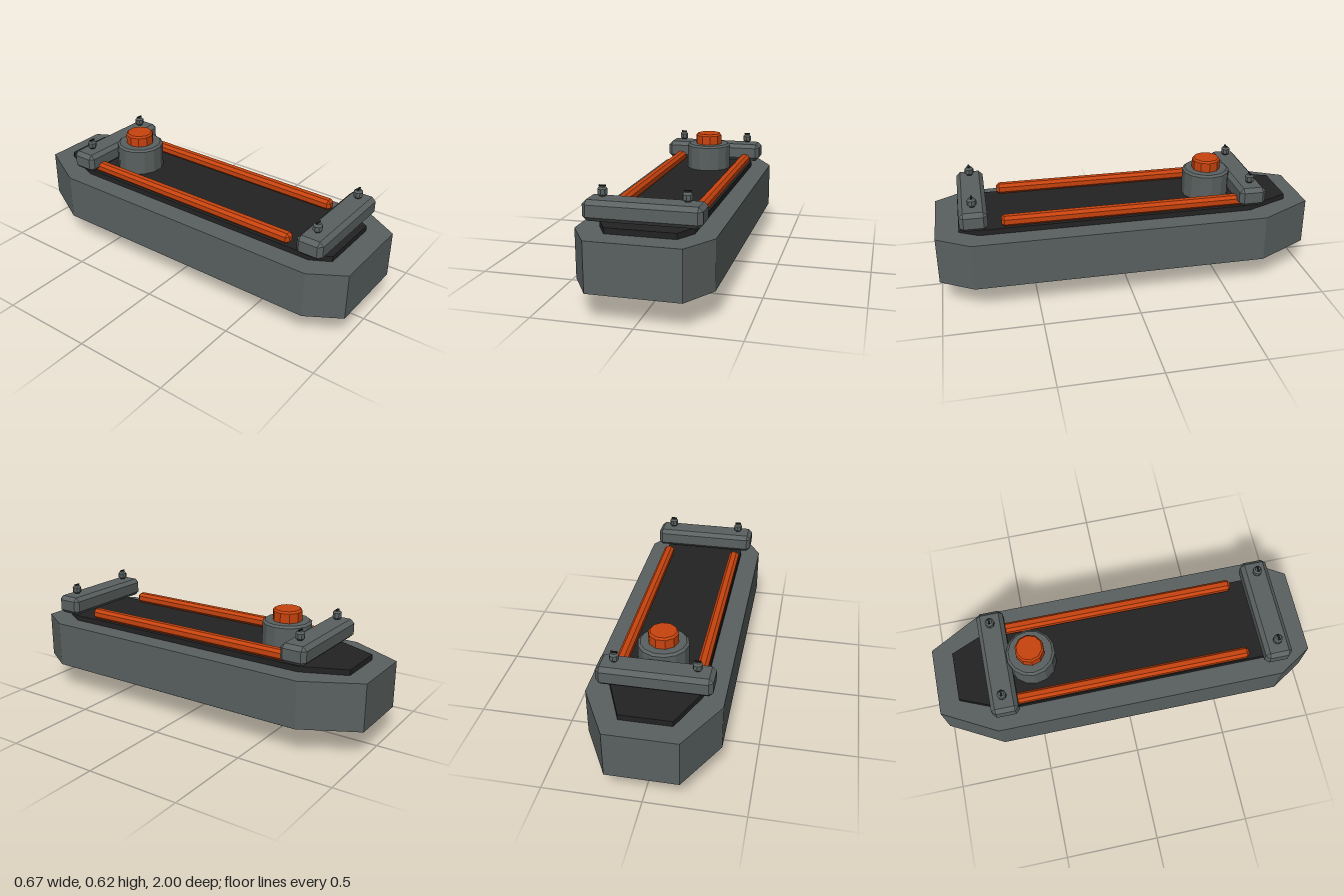
import * as THREE from 'three';
import { ConvexGeometry } from 'three/addons/geometries/ConvexGeometry.js';

function material(name, color) {
  const m = new THREE.MeshStandardMaterial({ color });
  m.name = name;
  return m;
}

// Box with every edge cut at 45 degrees
function chamferBox(w, h, d, c) {
  const points = [];
  const x = w / 2, y = h / 2, z = d / 2;
  for (const sx of [-1, 1]) for (const sy of [-1, 1]) for (const sz of [-1, 1]) {
    points.push(
      new THREE.Vector3(sx * x, sy * (y - c), sz * (z - c)),
      new THREE.Vector3(sx * (x - c), sy * y, sz * (z - c)),
      new THREE.Vector3(sx * (x - c), sy * (y - c), sz * z));
  }
  return new ConvexGeometry(points);
}

// Slab with a mirrored outline given as [x, z] from front to back
function slab(outline, y0, y1) {
  const right = outline.map(([x, z]) => new THREE.Vector2(x, -z));
  const left = outline.map(([x, z]) => new THREE.Vector2(-x, -z)).reverse();
  const geometry = new THREE.ExtrudeGeometry(new THREE.Shape([...right, ...left]),
    { depth: y1 - y0, bevelEnabled: false });
  return geometry.rotateX(-Math.PI / 2).translate(0, y0, 0);
}

// Faceted turned part from [radius, y] points, with a vertex on the x axis
function turned(profile, sides) {
  const geometry = new THREE.LatheGeometry(
    profile.map(([r, y]) => new THREE.Vector2(r, y)), sides, Math.PI / 2).toNonIndexed();
  geometry.computeVertexNormals();
  return geometry;
}

export function createModel() {
  const model = new THREE.Group();
  model.name = 'device';
  const grey = material('slate grey', 0x5a6160);
  const dark = material('near black', 0x232323);
  const orange = material('burnt orange', 0xc8430e);

  const add = (name, geometry, mat, x = 0, y = 0, z = 0) => {
    const mesh = new THREE.Mesh(geometry, mat);
    mesh.name = name;
    mesh.position.set(x, y, z);
    model.add(mesh);
    return mesh;
  };

  // Main body and the dark panels above and below it
  add('body', slab([[0.228, 1], [0.335, 0.825], [0.335, -0.715], [0.18, -1]], 0.145, 0.393), grey);
  const panel = [[0.172, 0.88], [0.228, 0.78], [0.228, -0.66], [0.13, -0.89]];
  add('topPanel', slab(panel, 0.393, 0.422), dark);
  add('bottomPanel', slab(panel, 0.115, 0.145), dark);

  // Grip under the body with its two posts
  add('grip', chamferBox(0.194, 0.108, 1.14, 0.029), dark, 0, 0.054, 0.005);
  for (const z of [0.47, -0.465]) {
    add('gripPost', new THREE.BoxGeometry(0.192, 0.035, 0.16), grey, 0, 0.0985, z);
  }

  // Side rails
  for (const x of [-0.2, 0.2]) {
    add('rail', chamferBox(0.056, 0.056, 1.31, 0.015), orange, x, 0.453, 0.008);
  }

  // Cross bars, each with two slotted screws
  const bar = chamferBox(0.566, 0.1, 0.142, 0.021);
  const screw = turned([[0, 0.547], [0.015, 0.547], [0.024, 0.557], [0.024, 0.582],
    [0.015, 0.592], [0, 0.592]], 8);
  const slot = new THREE.BoxGeometry(0.032, 0.006, 0.009);
  for (const z of [0.802, -0.653]) {
    add('crossBar', bar, grey, 0, 0.49, z);
    for (const x of [-0.2, 0.2]) {
      add('screw', screw, grey, x, 0, z);
      add('screwSlot', slot, dark, x, 0.597, z);
    }
  }

  // Push button in its collar
  add('collar', turned([[0, 0.42], [0.128, 0.42], [0.128, 0.555], [0.115, 0.565],
    [0, 0.565]], 14), grey, 0, 0, -0.472);
  add('button', turned([[0.076, 0.56], [0.076, 0.615], [0.067, 0.625], [0, 0.625]], 10),
    orange, 0, 0, -0.472);

  return model;
}
